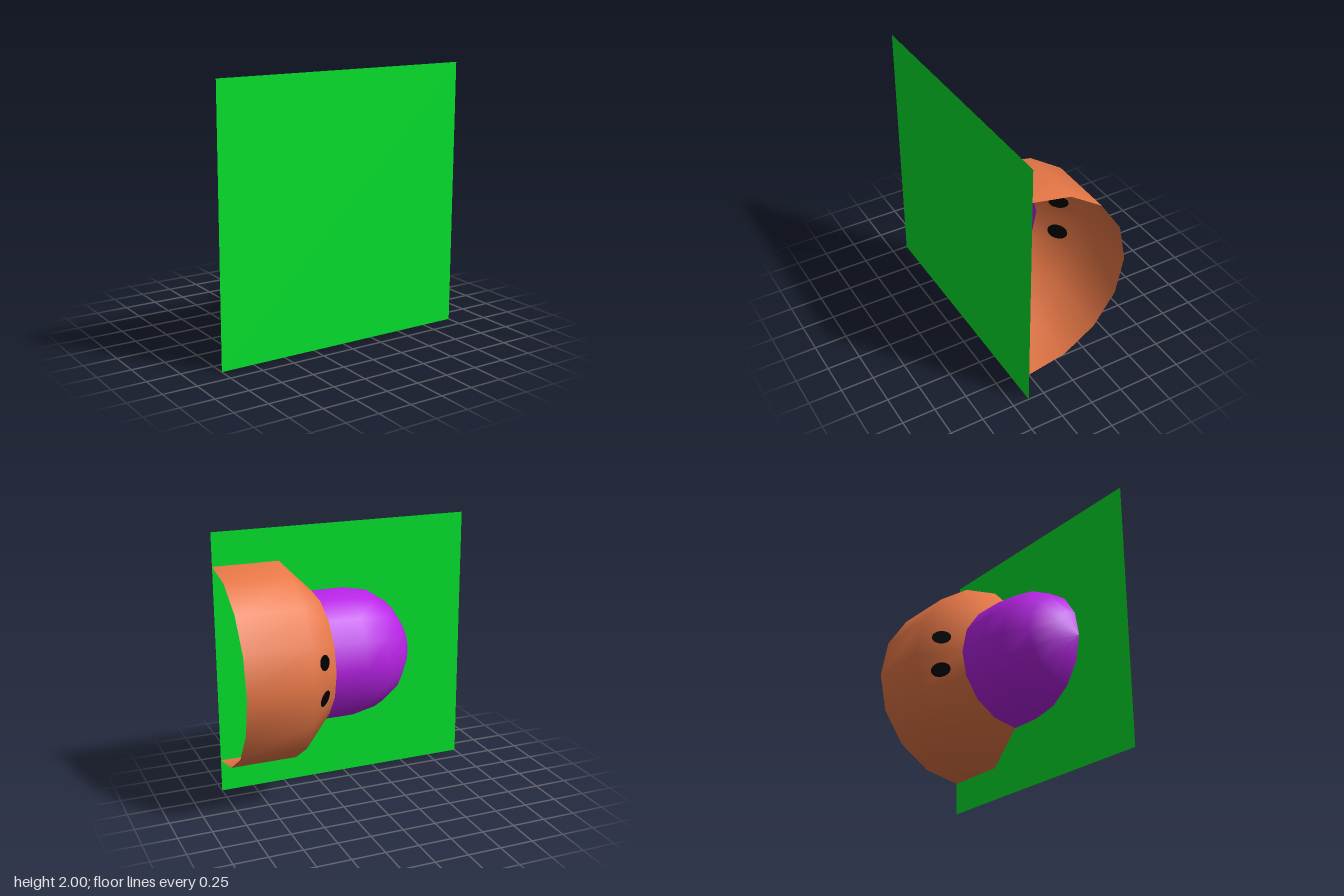
import * as THREE from 'three';

const CENTRE_Y = 1, BACK_Z = 0.375;

export function createModel() {
  const model = new THREE.Group();
  const paint = (name, color) => {
    const m = new THREE.MeshStandardMaterial({ color, side: THREE.DoubleSide });
    m.name = name;
    return m;
  };
  const green = paint('green', 0x00e62d);
  const orange = paint('orange', 0xe87847);
  const purple = paint('purple', 0xb822e6);
  const black = paint('black', 0x000000);

  const add = (name, geometry, material) => {
    const mesh = new THREE.Mesh(geometry, material);
    mesh.name = name;
    model.add(mesh);
  };

  // Open half shell turned about the x axis; profile points are [radius, x]
  const halfShell = (profile) =>
    new THREE.LatheGeometry(profile.map(([r, x]) => new THREE.Vector2(r, x)), 8, Math.PI / 2, Math.PI)
      .rotateZ(-Math.PI / 2)
      .translate(0, CENTRE_Y, BACK_Z);

  // Flat square panel behind which the half body sits
  add('panel', new THREE.PlaneGeometry(2, 2).translate(0, CENTRE_Y, BACK_Z), green);

  // Wide body with a tapered shoulder, open at its end
  add('body', halfShell([[0.5, 0.25], [0.75, 0.5], [0.75, 1]]), orange);

  // Rounded cap: quarter-circle dome, then a straight sleeve
  const dome = [];
  for (let i = 0; i <= 4; i++) {
    const a = (i / 4) * Math.PI / 2;
    dome.push([0.5 * Math.sin(a), -0.5 * Math.cos(a)]);
  }
  add('cap', halfShell([...dome, [0.5, 0.25]]), purple);

  // Oval spots lying on the two middle facets of the shoulder
  const half = Math.PI / 16, s = Math.sin(half), c = Math.cos(half);
  for (const side of [1, -1]) {
    const x = 0.38, depth = c * (x + 0.25), shift = 0.014;
    const along = new THREE.Vector3(1, c * side * s, -c * c).normalize();
    const normal = new THREE.Vector3(-c, side * s, -c).normalize();
    const across = along.clone().cross(normal);
    const spot = new THREE.CylinderGeometry(1, 1, 0.004, 20).scale(0.075, 1, 0.056);
    spot.applyMatrix4(new THREE.Matrix4().makeBasis(along, normal, across));
    spot.translate(
      x,
      CENTRE_Y + side * (depth * s + shift * c),
      BACK_Z - depth * c + shift * s
    );
    add(side > 0 ? 'upperEye' : 'lowerEye', spot, black);
  }
  return model;
}
